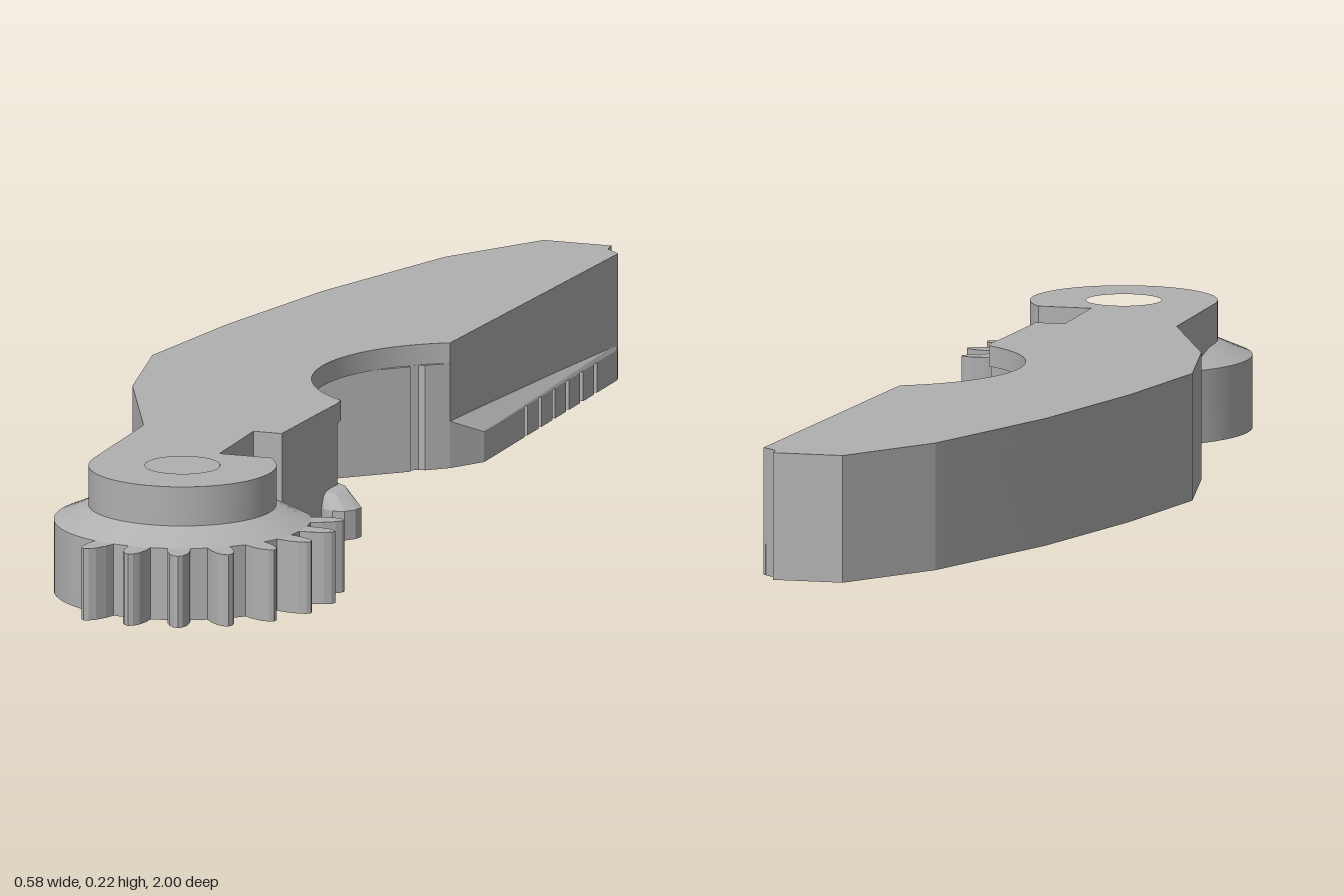
import * as THREE from 'three';
import { toCreasedNormals } from 'three/addons/utils/BufferGeometryUtils.js';
import { ConvexGeometry } from 'three/addons/geometries/ConvexGeometry.js';

const GEAR = { x: 0.02, z: 0.73 };
const BOSS_R = 0.157, BODY_R = 0.215, TIP_R = 0.27;
const GEAR_H = 0.123, CONE_H = 0.148, NOTCH_H = 0.18, TOP = 0.215;
const CUT = 0.1; // distance from the pivot to the flat cut behind it
const rad = Math.PI / 180;

const polar = (r, a, cx = GEAR.x, cz = GEAR.z) => [cx + r * Math.cos(a), cz + r * Math.sin(a)];

function arc(r, a0, a1, steps, cx, cz) {
  const pts = [];
  for (let i = 0; i <= steps; i++) pts.push(polar(r, a0 + (a1 - a0) * i / steps, cx, cz));
  return pts;
}

// Extrudes an outline of [x, z] points upward from y0 to y1
function slab(points, y0, y1, holeR) {
  const shape = new THREE.Shape(points.map(([x, z]) => new THREE.Vector2(x, -z)));
  if (holeR) {
    const hole = new THREE.Path();
    hole.absarc(GEAR.x, -GEAR.z, holeR, 0, Math.PI * 2, true);
    shape.holes.push(hole);
  }
  const geo = new THREE.ExtrudeGeometry(shape, { depth: y1 - y0, bevelEnabled: false, curveSegments: 32 });
  geo.rotateX(-Math.PI / 2);
  geo.translate(0, y0, 0);
  return toCreasedNormals(geo, 0.16);
}

// Arm outline; the inner curve between jaw and neck is passed in
function armOutline(inner) {
  return [
    [0.045, -1], [0.165, -1], [0.168, -0.975], [0.195, -0.95],
    ...inner,
    [0.115, 0.225], [0.11, 0.29], [0.1, 0.46], [0.05, 0.46], [0.05, GEAR.z - CUT],
    ...arc(BOSS_R, -Math.asin(CUT / BOSS_R), Math.PI, 48),
    [-0.138, 0.48], [-0.25, 0.22], [-0.293, 0], [-0.25, -0.25], [-0.18, -0.53], [-0.07, -0.83],
  ];
}

// Gear outline: partial disc with eight rounded teeth
function gearOutline() {
  const start = -Math.asin(CUT / BODY_R);
  const pts = [[0, GEAR.z - CUT], polar(BODY_R, start)];
  for (let i = -1; i <= 6; i++) {
    const a = i * 18 * rad;
    for (const [r, w] of [[BODY_R, 5.2], [0.235, 4.6], [0.256, 3.2], [0.267, 1.6], [TIP_R + 0.001, 0]])
      pts.push(polar(r, a - w * rad));
    for (const [r, w] of [[0.267, 1.6], [0.256, 3.2], [0.235, 4.6], [BODY_R, 5.2]])
      pts.push(polar(r, a + w * rad));
  }
  return [...pts, ...arc(BODY_R, 118 * rad, 225 * rad, 24), [0, 0.6]];
}

// Sloped shoulder between the gear and the boss
function shoulderGeometry() {
  const n = 48, end = 225 * rad, v = [];
  const low = arc(BODY_R, -Math.asin(CUT / BODY_R), end, n).map(([x, z]) => [x, GEAR_H, z]);
  const high = arc(BOSS_R, -Math.asin(CUT / BOSS_R), end, n).map(([x, z]) => [x, CONE_H, z]);
  for (let i = 0; i < n; i++)
    v.push(...low[i], ...high[i], ...low[i + 1], ...high[i], ...high[i + 1], ...low[i + 1]);
  v.push(high[0][0], GEAR_H, high[0][2], ...high[0], ...low[0]);
  const geo = new THREE.BufferGeometry();
  geo.setAttribute('position', new THREE.Float32BufferAttribute(v, 3));
  return toCreasedNormals(geo, 0.3);
}

// Lower jaw ledge outline with narrow grip grooves
function ledgeOutline() {
  const edge = z => 0.185 + (-0.31 - z) * 0.019;
  const pts = [[0.1, -0.9], [0.1, -0.23], [0.146, -0.25], [0.185, -0.31]];
  for (let i = 0; i < 6; i++) {
    const z = -0.5 - i * 0.066;
    pts.push([edge(z), z], [edge(z) - 0.008, z], [edge(z) - 0.008, z - 0.014], [edge(z - 0.014), z - 0.014]);
  }
  return [...pts, [edge(-0.94), -0.94], [0.19, -0.955]];
}

const hull = pts => new ConvexGeometry(pts.map(p => new THREE.Vector3(...p)));

export function createModel() {
  const group = new THREE.Group();
  const grey = new THREE.MeshStandardMaterial({ color: 0xb0b0b0 });
  grey.name = 'plain grey';
  const add = (name, geo) => {
    const mesh = new THREE.Mesh(geo, grey);
    mesh.name = name;
    group.add(mesh);
  };

  // Top plate with a rounded throat
  const cx = 0.262, cz = -0.015;
  const a0 = Math.atan2(-0.25 - cz, 0.146 - cx) + 2 * Math.PI;
  const a1 = Math.atan2(0.2 - cz, 0.112 - cx);
  add('armTopPlate', slab(armOutline(arc(0.262, a0, a1, 28, cx, cz)), NOTCH_H, TOP, 0.063));

  // Lower arm with a V-shaped throat and a small slot in each wall
  const vee = [[0.146, -0.25]];
  const tip = [-0.135, -0.005];
  const along = (end, t, d = 0) => [tip[0] + (end[0] - tip[0]) * t - d, tip[1] + (end[1] - tip[1]) * t];
  const back = [0.146, -0.25], front = [0.112, 0.215];
  vee.push(along(back, 0.88), along(back, 0.88, 0.012), along(back, 0.81, 0.012), along(back, 0.81));
  vee.push(tip);
  vee.push(along(front, 0.6), along(front, 0.6, 0.012), along(front, 0.67, 0.012), along(front, 0.67), front);
  add('armBody', slab(armOutline(vee), 0, NOTCH_H, 0.053));

  // Gear segment and its shoulder
  add('gear', slab(gearOutline(), 0, GEAR_H, 0.053));
  add('gearShoulder', shoulderGeometry());

  // Jaw ledge and the sloped strip above it
  add('jawLedge', slab(ledgeOutline(), 0, 0.052));
  add('jawLedgeSlope', hull([
    [0.12, 0.052, -0.25], [0.146, 0.052, -0.25], [0.185, 0.052, -0.31], [0.197, 0.052, -0.94],
    [0.17, 0.052, -0.94], [0.12, 0.08, -0.25], [0.146, 0.08, -0.25], [0.152, 0.08, -0.31],
    [0.193, 0.06, -0.94], [0.17, 0.06, -0.94],
  ]));

  // Small stop nub beside the throat
  const nub = [[0.1, 0.203], [0.172, 0.265], [0.168, 0.285], [0.155, 0.301], [0.135, 0.306], [0.118, 0.297], [0.1, 0.28]];
  add('stopNub', hull([
    ...nub.flatMap(([x, z]) => [[x, 0, z], [x, 0.05, z]]),
    [0.1, 0.076, 0.203], [0.13, 0.076, 0.229], [0.145, 0.07, 0.25], [0.13, 0.072, 0.275], [0.1, 0.076, 0.27],
  ]));

  return group;
}
